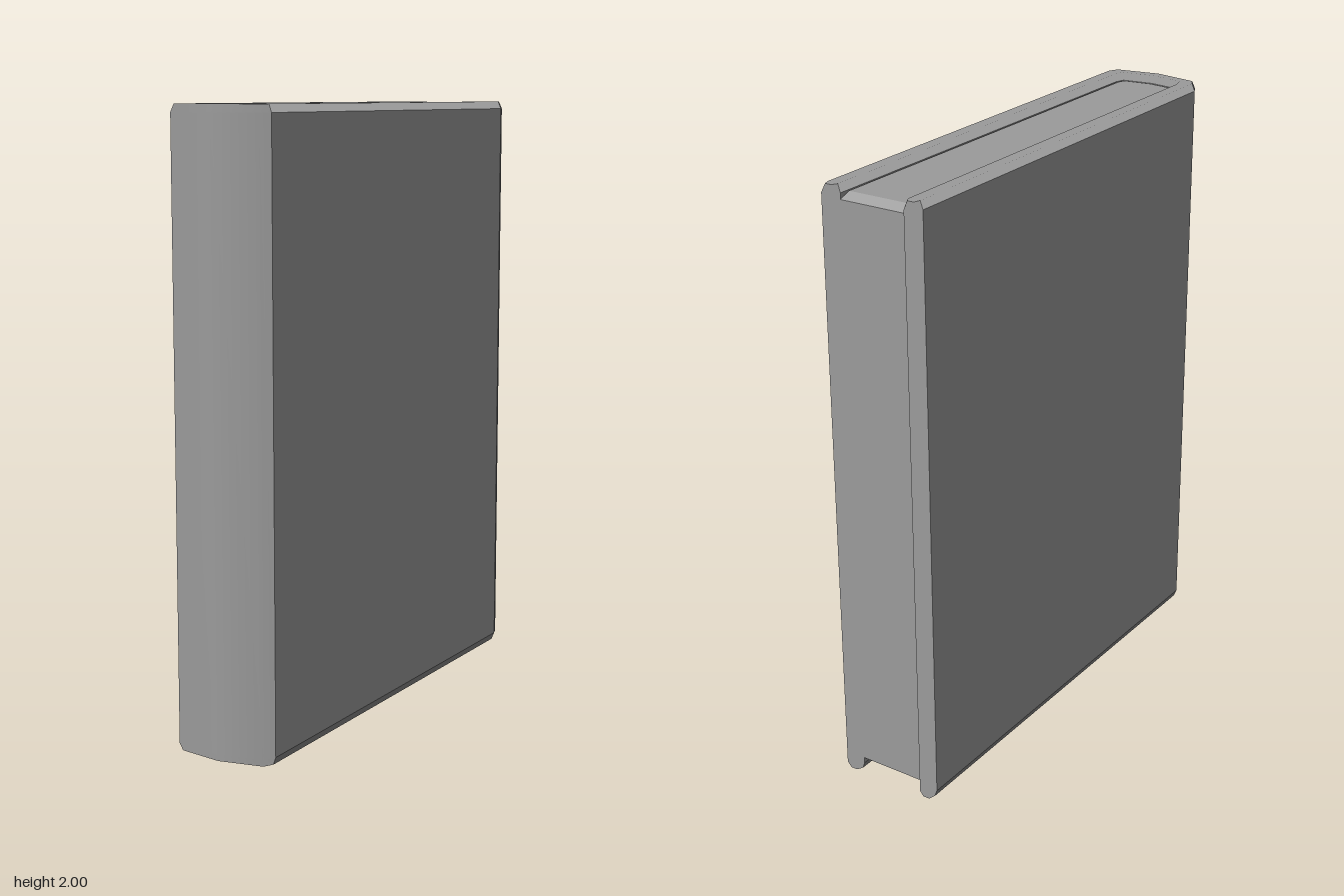
import * as THREE from 'three';

const material = new THREE.MeshStandardMaterial({ color: 0x9b9b9b });

// Extrude an [x, z] outline upward from y0 to y1 with chamfered rims
function extrudeUp(outline, y0, y1, rimHeight, rimInset) {
  const shape = new THREE.Shape(outline.map(([x, z]) => new THREE.Vector2(x, -z)));
  const geometry = new THREE.ExtrudeGeometry(shape, {
    depth: y1 - y0 - 2 * rimHeight,
    bevelEnabled: true,
    bevelSegments: 1,
    bevelThickness: rimHeight,
    bevelSize: rimInset,
    bevelOffset: -rimInset,
  });
  return geometry.rotateX(-Math.PI / 2).translate(0, y0 + rimHeight, 0);
}

const mirrored = (points) => points.map(([x, z]) => [-x, z]).reverse();

function createMesh(name, geometry) {
  const mesh = new THREE.Mesh(geometry, material);
  mesh.name = name;
  return mesh;
}

// Soften the cover: round the spine, blend tips to the back and rims to the ends
function softenCover(geometry) {
  const { position, normal } = geometry.attributes;
  const n = new THREE.Vector3();
  for (let i = 0; i < position.count; i++) {
    const x = position.getX(i);
    const z = position.getZ(i);
    n.fromBufferAttribute(normal, i);
    if (n.z > 0.15 && z > 0.74) n.set(3 * x, 0, 1).normalize();
    else if (n.z < -0.25 && z < -0.7) n.set(0, 0, -1);
    else if (Math.abs(n.y) > 0.2) n.set(0, Math.sign(n.y), 0);
    normal.setXYZ(i, n.x, n.y, n.z);
  }
  return geometry;
}

export function createModel() {
  const book = new THREE.Group();
  book.name = 'book';

  // Cover: two boards joined by a gently curved spine, as one U-shaped outline
  const outer = [[0.165, -0.83], [0.175, -0.8], [0.175, 0.76], [0.155, 0.797]];
  const inner = [[0.105, 0.755], [0.115, 0.72], [0.115, -0.805], [0.13, -0.83]];
  const coverOutline = [
    ...outer, [0, 0.825], ...mirrored(outer),
    ...mirrored(inner), [0, 0.77], ...inner,
  ];
  book.add(createMesh('cover', softenCover(extrudeUp(coverOutline, 0, 2, 0.025, 0.01))));

  // Page block: recessed between the boards, tucked slightly into them
  const side = [[0.117, -0.805], [0.117, 0.722], [0.107, 0.757]];
  const pagesOutline = [...side, [0, 0.772], ...mirrored(side)];
  const pages = extrudeUp(pagesOutline, 0.025, 1.975, 0.02, 0.01);

  // Widen the chamfer along the open edge of the pages
  const position = pages.attributes.position;
  for (let i = 0; i < position.count; i++) {
    const atRim = Math.abs(position.getY(i) - 1) > 0.965;
    if (atRim && position.getZ(i) < -0.7) position.setZ(i, -0.775);
  }
  pages.computeVertexNormals();
  book.add(createMesh('pages', pages));

  return book;
}
